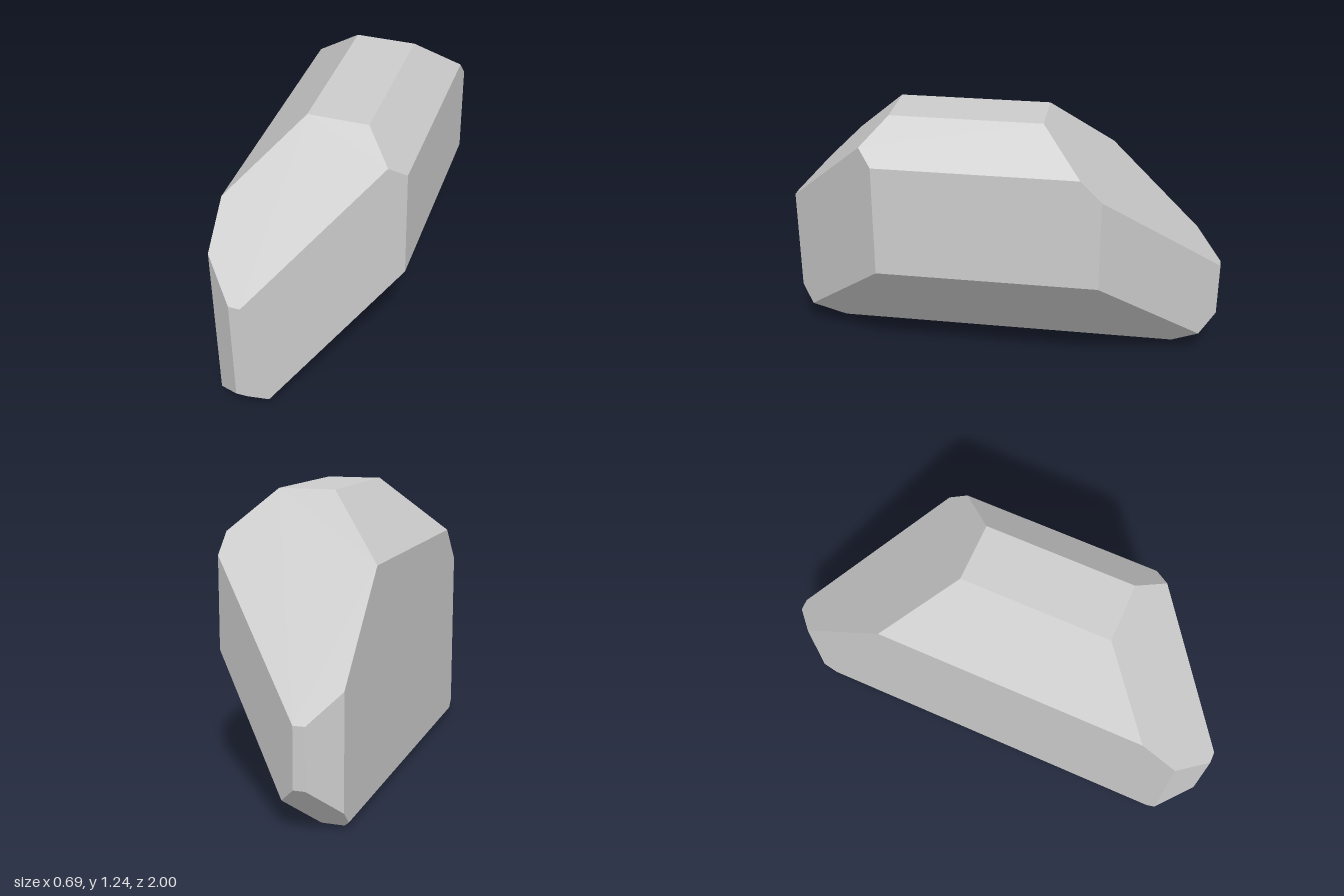
import * as THREE from 'three';
import { ConvexGeometry } from 'three/addons/geometries/ConvexGeometry.js';

// Each row is a cutting plane [nx, ny, nz, d]; the solid keeps n . p <= d
const PLANES = [
  // flat sides
  [1, 0, 0, 0.346], [-1, 0, 0, 0.346],
  [0, 1, 0, 1.235], [0, -1, 0, 0],
  [0, 0, 1, 1], [0, 0, -1, 1],
  // bevels along z
  [1, 1, 0, 1.41], [-1, 1, 0, 1.313], [1, -1, 0, -0.226], [-1, -1, 0, 0.321],
  // bevels along x
  [0, 1, 1, 1.675], [0, 1, -1, 1.445], [0, -1, 1, 0.81], [0, -1, -1, 0.805],
  // bevels along y
  [1, 0, 1, 0.832], [-1, 0, 1, 1.217], [1, 0, -1, 0.817], [-1, 0, -1, 1.233],
];

// Corners of the solid: every meeting point of three planes that lies inside all others
function solidCorners(rows) {
  const planes = rows.map(([x, y, z, d]) => ({ n: new THREE.Vector3(x, y, z), d }));
  const corners = [];
  for (let i = 0; i < planes.length; i++) {
    for (let j = i + 1; j < planes.length; j++) {
      for (let k = j + 1; k < planes.length; k++) {
        const [a, b, c] = [planes[i], planes[j], planes[k]];
        const bc = b.n.clone().cross(c.n);
        const det = a.n.dot(bc);
        if (Math.abs(det) < 1e-6) continue;
        const p = bc.multiplyScalar(a.d)
          .addScaledVector(c.n.clone().cross(a.n), b.d)
          .addScaledVector(a.n.clone().cross(b.n), c.d)
          .divideScalar(det);
        const inside = planes.every((q) => q.n.dot(p) <= q.d + 1e-6);
        if (inside && !corners.some((q) => q.distanceTo(p) < 1e-4)) corners.push(p);
      }
    }
  }
  return corners;
}

export function createModel() {
  const group = new THREE.Group();
  group.name = 'bevelledBlock';

  // One faceted block, cut by flat sides and 45 degree bevels
  const block = new THREE.Mesh(
    new ConvexGeometry(solidCorners(PLANES)),
    new THREE.MeshStandardMaterial({ color: 0xcccccc, flatShading: true })
  );
  block.name = 'block';
  group.add(block);
  return group;
}
